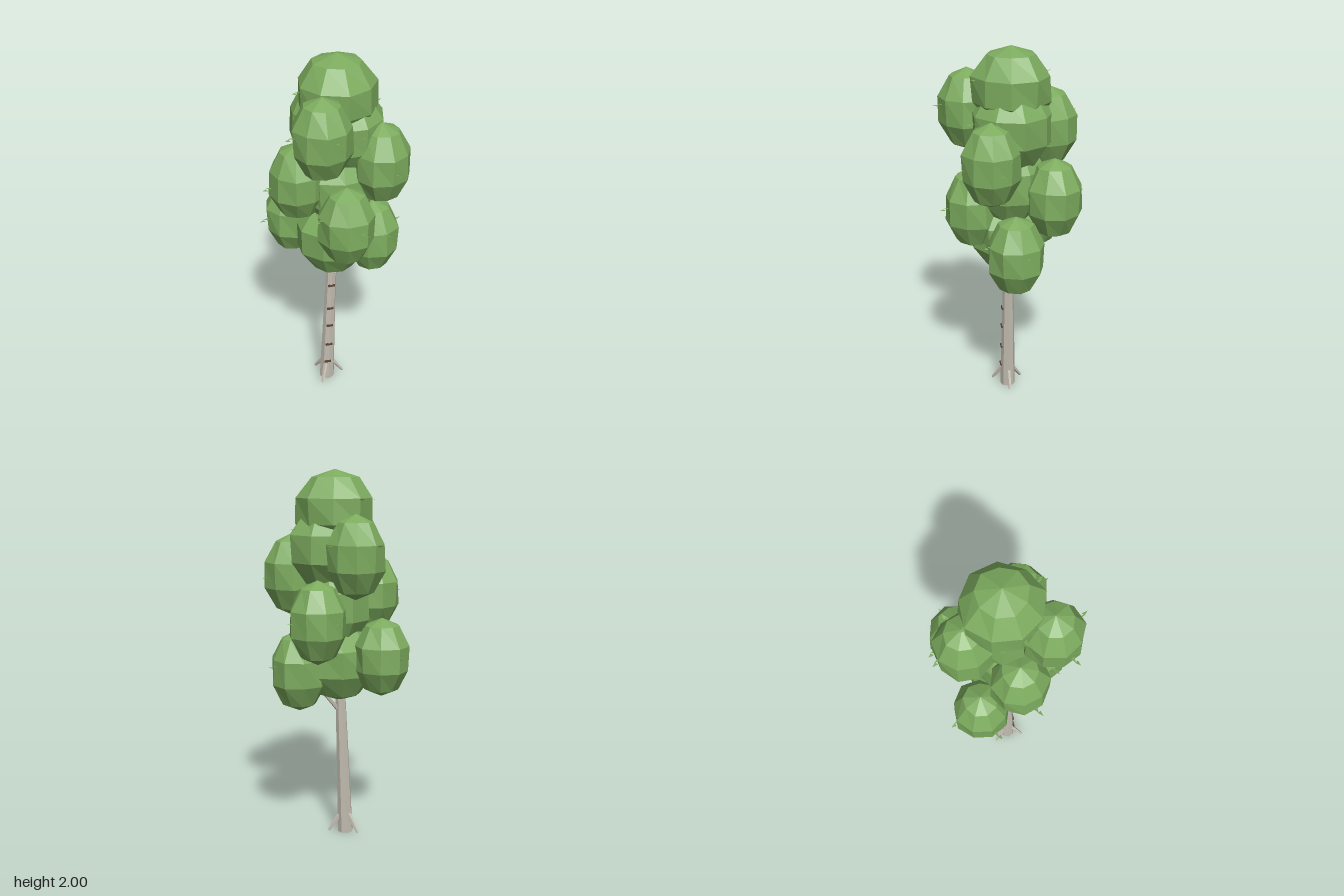
import * as THREE from 'three';

export function createModel() {
  const tree = new THREE.Group();
  tree.name = 'tree';
  const mat = (name, color, extra = {}) => {
    const m = new THREE.MeshStandardMaterial({ color, flatShading: true, ...extra });
    m.name = name;
    return m;
  };
  const foliage = mat('foliageGreen', 0x7cab5e, { side: THREE.DoubleSide });
  const bark = mat('paleBark', 0xc2bcb0);
  const dark = mat('darkBark', 0x5c4433);
  const add = (name, geo, material) => {
    const mesh = new THREE.Mesh(geo, material);
    mesh.name = name;
    tree.add(mesh);
    return mesh;
  };

  // Tapered limb between two points
  const limb = (name, a, b, ra, rb, sides, material) => {
    const p = new THREE.Vector3(...a), q = new THREE.Vector3(...b);
    const d = q.clone().sub(p);
    const m = add(name, new THREE.CylinderGeometry(rb, ra, d.length(), sides), material);
    m.position.copy(p).add(q).multiplyScalar(0.5);
    m.quaternion.setFromUnitVectors(new THREE.Vector3(0, 1, 0), d.normalize());
  };

  // Leaning trunk, built from rings so that the base stays level
  const trunkX = (y) => -0.048 + 0.036 * y;
  const trunkR = (y) => 0.043 - 0.019 * y;
  const trunk = new THREE.CylinderGeometry(1, 1, 1.1, 8, 4).translate(0, 0.55, 0);
  const tp = trunk.attributes.position;
  for (let i = 0; i < tp.count; i++) {
    const y = tp.getY(i), r = trunkR(y);
    tp.setXYZ(i, tp.getX(i) * r + trunkX(y), y, tp.getZ(i) * r);
  }
  trunk.computeVertexNormals();
  add('trunk', trunk, bark);

  // Three spreading roots and a short branch
  for (let i = 0; i < 3; i++) {
    const a = (i * Math.PI * 2) / 3, c = Math.cos(a), s = Math.sin(a);
    limb('root', [-0.046 + 0.025 * c, 0.11, 0.025 * s], [-0.048 + 0.095 * c, 0.012, 0.095 * s], 0.014, 0.008, 5, bark);
  }
  limb('branch', [-0.02, 0.7, 0], [0.08, 0.82, -0.02], 0.013, 0.009, 5, bark);

  // Dark bark marks up the front of the trunk
  [[0.13, -0.052], [0.255, -0.043], [0.39, -0.038], [0.51, -0.034], [0.665, -0.024]].forEach(([y, x]) => {
    const m = add('barkMark', new THREE.BoxGeometry(0.038, 0.011, 0.009), dark);
    m.position.set(x, y, trunkR(y) - 0.001);
  });

  // Foliage clumps: x, y, z, radius, half height, turn
  const clumps = [
    ['crownTop', 0.015, 1.79, -0.01, 0.212, 0.21, 0.2],
    ['crownCoreUpper', 0.05, 1.6, -0.01, 0.22, 0.23, 0.5],
    ['crownCoreMiddle', 0.02, 1.3, 0, 0.2, 0.25, 0.1],
    ['crownCoreLower', -0.01, 1.0, 0, 0.205, 0.23, 0.35],
    ['clump', -0.115, 1.655, 0.2, 0.156, 0.217, 0.1],
    ['clump', 0.212, 1.45, 0.12, 0.156, 0.22, 0.3],
    ['clump', -0.2, 1.35, 0.02, 0.156, 0.21, 0.6],
    ['clump', 0.01, 1.15, 0.19, 0.156, 0.22, 0.0],
    ['clump', 0.212, 0.95, -0.005, 0.156, 0.22, 0.45],
    ['clump', -0.19, 1.035, -0.18, 0.154, 0.21, 0.15],
    ['clump', 0.165, 1.24, -0.21, 0.154, 0.217, 0.55],
    ['clump', -0.035, 1.565, -0.21, 0.156, 0.217, 0.25],
  ];
  clumps.forEach(([name, x, y, z, r, h, turn], n) => {
    const geo = new THREE.SphereGeometry(1, 9, 5);
    const p = geo.attributes.position;
    for (let i = 0; i < p.count; i++) {
      const col = i % 10 % 9, row = Math.floor(i / 10);
      const wave = row % 5 ? 1 + 0.035 * Math.sin(col * 2.4 + row * 1.7 + n * 1.3) : 1;
      p.setXYZ(i, p.getX(i) * r * wave, p.getY(i) * h, p.getZ(i) * r * wave);
    }
    geo.computeVertexNormals();
    const m = add(name, geo, foliage);
    m.position.set(x, y, z);
    m.rotation.y = turn;
  });

  // Flat pairs of pointed leaves: x, y, z, clump index they grow from
  const leafGeo = new THREE.BufferGeometry();
  leafGeo.setAttribute('position', new THREE.Float32BufferAttribute([
    -0.025, 0, -0.008, -0.02, 0, 0.012, 0.008, 0.004, 0.004,
    0.0, -0.004, -0.012, 0.004, 0, 0.006, 0.03, 0.002, -0.008,
  ], 3));
  leafGeo.computeVertexNormals();
  [
    [0.08, 1.85, 0.18, 0], [-0.06, 1.85, -0.205, 0], [-0.205, 1.84, 0.05, 0],
    [0.25, 1.7, -0.08, 1], [0.1, 1.63, 0.205, 1],
    [-0.285, 1.7, 0.255, 4], [-0.07, 1.69, 0.355, 4],
    [0.255, 1.44, 0.27, 5], [0.37, 1.44, 0.075, 5],
    [-0.37, 1.35, 0.07, 6], [-0.16, 1.42, 0.165, 6],
    [0.065, 1.17, 0.345, 7], [-0.14, 1.215, 0.23, 7],
    [0.37, 0.99, -0.055, 8], [0.25, 1.02, 0.145, 8],
    [-0.355, 1.05, -0.13, 9], [-0.235, 1.05, -0.33, 9],
    [0.31, 1.25, -0.255, 10], [0.1, 1.25, -0.36, 10],
    [-0.1, 1.63, -0.355, 11], [0.105, 1.63, -0.26, 11],
  ].forEach(([x, y, z, n]) => {
    const leaf = add('leaf', leafGeo, foliage);
    leaf.position.set(x, y, z);
    leaf.rotation.y = -Math.atan2(z - clumps[n][3], x - clumps[n][1]);
  });

  return tree;
}
